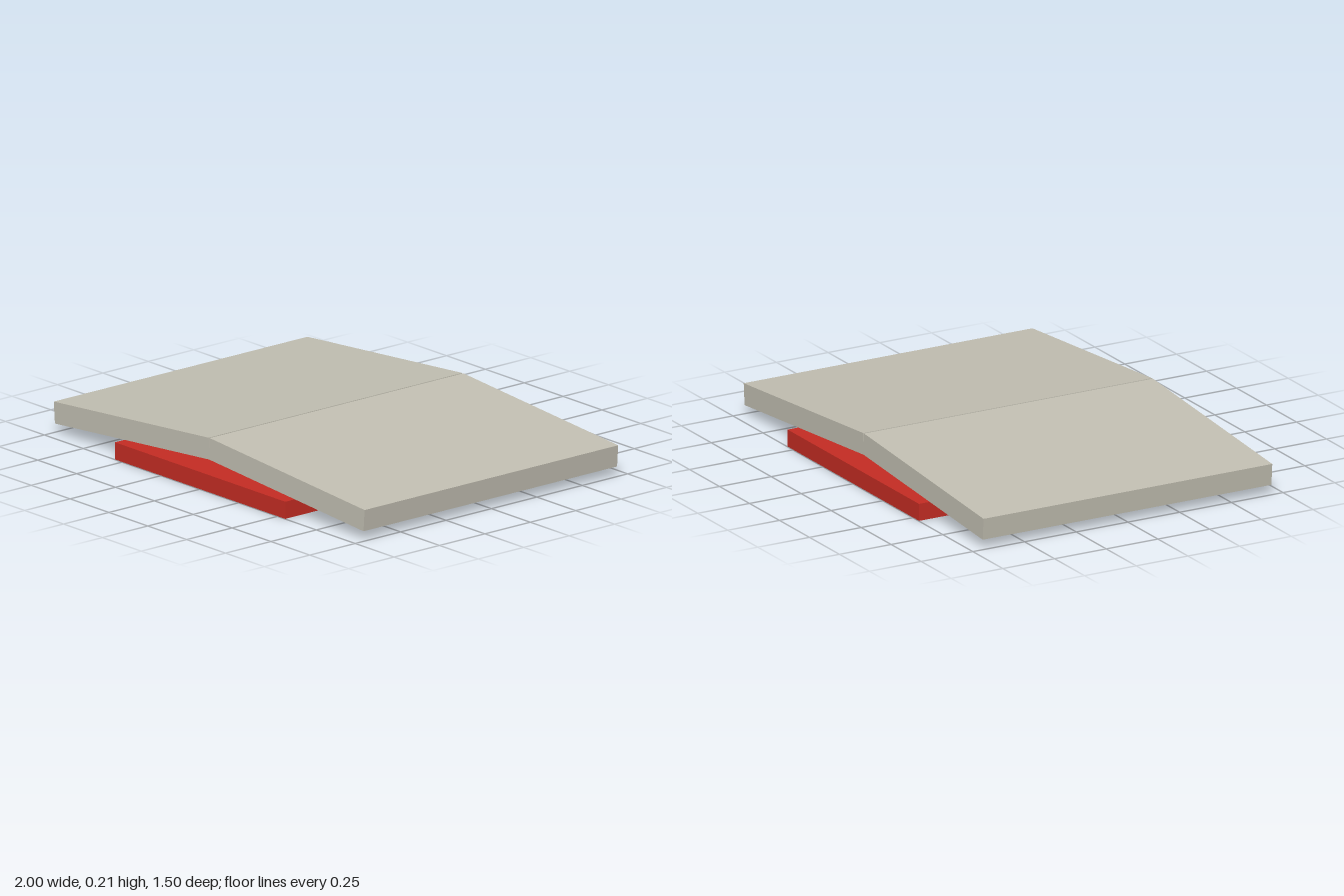
import * as THREE from 'three';

export function createModel() {
  const model = new THREE.Group();
  model.name = 'hingedPanels';
  const stone = new THREE.MeshStandardMaterial({ name: 'warm grey', color: 0xc2bfb2 });
  const red = new THREE.MeshStandardMaterial({ name: 'red', color: 0xc42c23 });

  // Flat base slab, slightly longer than the panels
  const base = new THREE.Mesh(new THREE.BoxGeometry(1.096, 0.075, 1.496), red);
  base.name = 'base';
  base.position.y = 0.0375;
  model.add(base);

  // Two panels sloping down from the ridge, leaving a narrow V groove on top
  const length = 0.9994, thickness = 0.095, depth = 1.396;
  const slope = THREE.MathUtils.degToRad(4.5);
  for (const side of [1, -1]) {
    const geometry = new THREE.BoxGeometry(length, thickness, depth);
    geometry.translate(side * length / 2, 0, 0);
    const panel = new THREE.Mesh(geometry, stone);
    panel.name = side > 0 ? 'leftPanel' : 'rightPanel';
    panel.position.y = 0.167;
    panel.rotation.z = -side * slope;
    model.add(panel);
  }
  return model;
}
